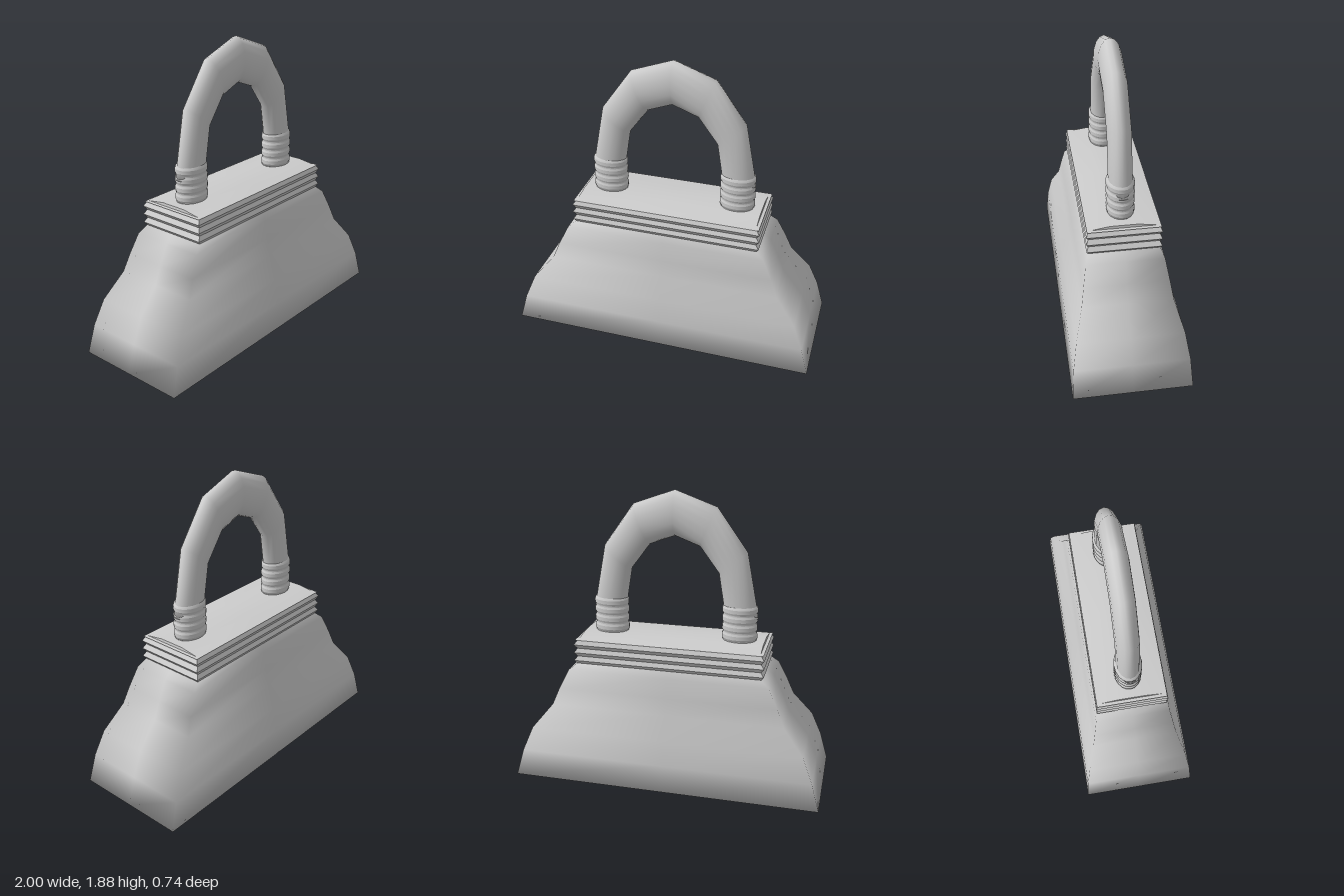
import * as THREE from 'three';
import { toCreasedNormals } from 'three/addons/utils/BufferGeometryUtils.js';

const material = new THREE.MeshStandardMaterial({ color: 0xcccccc, side: THREE.DoubleSide });

function addMesh(parent, name, geometry) {
  const mesh = new THREE.Mesh(geometry, material);
  mesh.name = name;
  parent.add(mesh);
  return mesh;
}

// Joins closed loops of equal length into a skin, with optional fan caps.
function loft(loops, capStart, capEnd) {
  const n = loops[0].length;
  const points = loops.flat();
  const index = [];
  for (let r = 0; r < loops.length - 1; r++) {
    for (let i = 0; i < n; i++) {
      const a = r * n + i, b = r * n + (i + 1) % n;
      index.push(a, a + n, b, b, a + n, b + n);
    }
  }
  const cap = (r, flip) => {
    const centre = new THREE.Vector3();
    loops[r].forEach((p) => centre.addScaledVector(p, 1 / n));
    const c = points.push(centre) - 1;
    for (let i = 0; i < n; i++) {
      const a = r * n + i, b = r * n + (i + 1) % n;
      index.push(c, flip ? b : a, flip ? a : b);
    }
  };
  if (capStart) cap(0, false);
  if (capEnd) cap(loops.length - 1, true);
  const geometry = new THREE.BufferGeometry().setFromPoints(points);
  geometry.setIndex(index);
  geometry.computeVertexNormals();
  return geometry;
}

// Rectangle at height y, running clockwise seen from above when x and z are positive.
const square = [[1, 1], [0, 1], [-1, 1], [-1, 0], [-1, -1], [0, -1], [1, -1], [1, 0]];
const rectLoop = ([y, hx, hz]) => square.map(([x, z]) => new THREE.Vector3(x * hx, y, z * hz));

export function createModel() {
  const bag = new THREE.Group();
  bag.name = 'handbag';

  // Flared body: height, half width, half depth
  const body = [
    [0, 1, 0.37], [0.18, 0.95, 0.357], [0.34, 0.885, 0.33], [0.5, 0.755, 0.28],
    [0.61, 0.71, 0.262], [0.735, 0.65, 0.24], [0.78, 0.595, 0.218],
  ];
  addMesh(bag, 'body', loft(body.map(rectLoop), true, false));

  // Ribbed collar with a gently sloped lid
  const collar = [[0.775, 0.592, 0.215]];
  for (let i = 0; i < 3; i++) {
    collar.push([0.8 + i * 0.053, 0.612, 0.228], [0.828 + i * 0.053, 0.592, 0.215]);
  }
  collar.push([0.937, 0.605, 0.222], [0.94, 0.585, 0.2], [0.957, 0.583, 0.085]);
  addMesh(bag, 'collar', toCreasedNormals(loft(collar.map(rectLoop), false, true), 0.6));

  // Ribbed sockets that hold the handle
  const profile = [[0, 0], [0.95, 0]];
  for (let i = 0; i < 4; i++) {
    const y = i * 0.057;
    profile.push([0.95, y + 0.004], [1, y + 0.017], [1, y + 0.04], [0.95, y + 0.053]);
  }
  profile.push([0, 0.225]);
  const socket = toCreasedNormals(
    new THREE.LatheGeometry(profile.map(([x, y]) => new THREE.Vector2(x, y)), 20), 0.9);
  socket.scale(0.113, 1, 0.086);
  for (const side of [-1, 1]) {
    addMesh(bag, side > 0 ? 'leftSocket' : 'rightSocket', socket).position.set(side * 0.42, 0.957, 0);
  }

  // Arched handle: outer x, y and inner x, y of each section, mirrored over the top
  const half = [
    [0.535, 1.1, 0.322, 1.1], [0.523, 1.18, 0.312, 1.18],
    [0.458, 1.52, 0.28, 1.38], [0.265, 1.79, 0.16, 1.54],
  ];
  const mirrored = half.map(([ox, oy, ix, iy]) => [-ox, oy, -ix, iy]).reverse();
  const sections = [...half, [0, 1.885, 0, 1.6], ...mirrored];
  const handleLoops = sections.map(([ox, oy, ix, iy]) => Array.from({ length: 16 }, (_, i) => {
    const a = (i / 16) * Math.PI * 2;
    const t = (1 + Math.cos(a)) / 2;
    return new THREE.Vector3(ix + (ox - ix) * t, iy + (oy - iy) * t, -0.073 * Math.sin(a));
  }));
  // Reverse each loop so the skin faces outward
  addMesh(bag, 'handle', loft(handleLoops.map((loop) => loop.reverse()), true, true));

  return bag;
}
